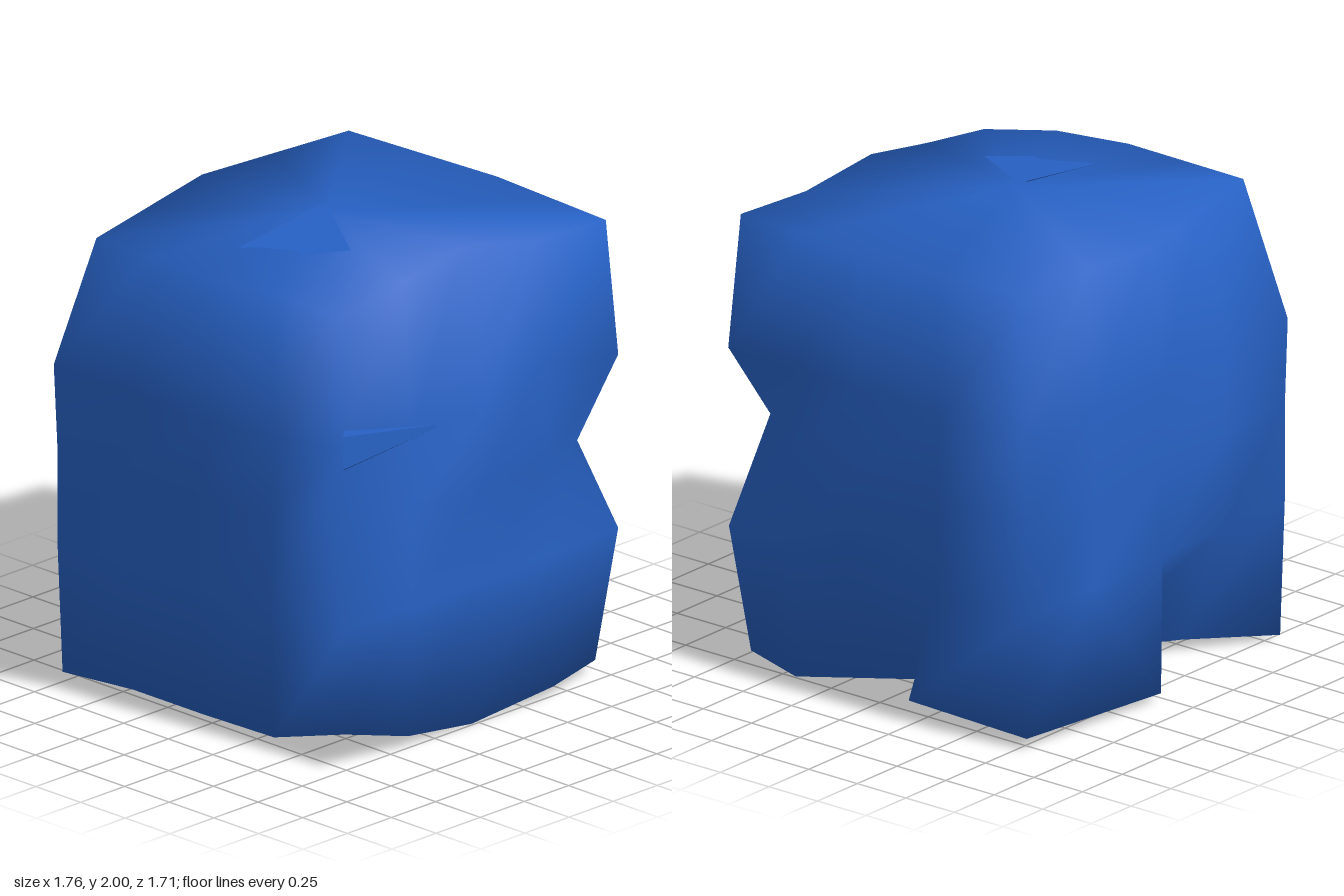
import * as THREE from 'three';
import { ConvexGeometry } from 'three/addons/geometries/ConvexGeometry.js';

// Outlines as x,z pairs: front, then round past +x, the back and -x
const base = [-0.03, 0.74, 0.73, 0.68, 0.82, 0, 0.79, -0.79, 0, -0.84, -0.8, -0.79, -0.8, 0, -0.77, 0.76];
const waist = [0, 0.76, 0.82, 0.72, 0.87, 0.06, 0.85, -0.84, 0, -0.84, -0.83, -0.79, -0.85, 0, -0.78, 0.77];
const chest = [0, 0.79, 0.8, 0.74, 0.83, 0.05, 0.86, -0.82, 0, -0.85, -0.86, -0.78, -0.89, 0.14, -0.74, 0.7];
const rim = [0.05, 0.62, 0.77, 0.7, 0.81, 0.05, 0.76, -0.73, 0, -0.8, -0.8, -0.6, -0.81, 0, -0.67, 0.63];

// Sixteen points at height y: the outline and the middle of each of its sides
function ring(y, outline) {
  const corners = [];
  for (let i = 0; i < outline.length; i += 2) {
    corners.push(new THREE.Vector3(outline[i], y, outline[i + 1]));
  }
  return corners.flatMap((p, i) => [p, p.clone().lerp(corners[(i + 1) % corners.length], 0.5)]);
}

// Closed smooth skin through the rings, with a centre point on each cap
function skin(rings, bottom, top) {
  const n = rings[0].length;
  const points = [...rings.flat(), bottom, top];
  const b = points.length - 2;
  const last = b - n;
  const index = [];
  for (let j = 0; j < n; j++) {
    const k = (j + 1) % n;
    for (let r = 0; r < last; r += n) {
      index.push(r + j, r + k, r + n + k, r + j, r + n + k, r + n + j);
    }
    index.push(b, k, j, b + 1, last + j, last + k);
  }
  const geometry = new THREE.BufferGeometry().setFromPoints(points);
  geometry.setIndex(index);
  geometry.computeVertexNormals();
  return geometry;
}

function bodyGeometry() {
  const foot = ring(0.05, base);
  const low = ring(0.6, waist);
  const middle = ring(1, waist);
  const high = ring(1.35, chest);
  const top = ring(1.92, rim);

  // Cleft under the +x face
  foot[3].set(0.84, 0.05, 0.36);
  foot[4].set(0.57, 0.06, -0.06);
  foot[5].set(0.8, 0.07, -0.19);
  // Cleft under the back
  foot[7].set(0.02, 0.03, -0.85);
  foot[8].set(-0.08, 0.06, -0.35);
  foot[9].set(-0.45, 0.05, -0.57);
  // Dents in both front edges
  middle[2].set(0.56, 1, 0.72);
  middle[14].set(-0.7, 1.1, 0.58);
  // Bulges on the front
  high[1].set(0.27, 1.5, 0.86);
  foot[1].set(0.4, 0.05, 0.77);
  // Uneven rims
  foot[0].y = 0;
  foot[14].y = 0.16;
  foot[10].y = 0.02;
  top[0].y = 1.98;
  top[14].y = 1.87;

  return skin([foot, low, middle, high, top],
    new THREE.Vector3(0, 0.04, 0), new THREE.Vector3(-0.05, 1.98, -0.05));
}

export function createModel() {
  const group = new THREE.Group();
  group.name = 'boulder';
  const blue = new THREE.MeshStandardMaterial({ color: 0x2761c4 });
  blue.name = 'blue';

  const add = (name, geometry) => {
    const mesh = new THREE.Mesh(geometry, blue);
    mesh.name = name;
    group.add(mesh);
  };

  add('body', bodyGeometry());

  // Small overhanging ledges on the front edge and the top
  const wedge = (...points) => new ConvexGeometry(points.map((p) => new THREE.Vector3(...p)));
  add('frontLedge', wedge([-0.78, 1.43, 0.76], [-0.78, 1.29, 0.76], [-0.2, 1.33, 0.76],
    [-0.6, 1.2, 0.6], [-0.6, 1.4, 0.6]));
  add('topLedge', wedge([-0.07, 2, -0.08], [-0.06, 2, -0.03], [-0.26, 1.96, 0.29],
    [-0.7, 1.92, -0.08], [-0.3, 1.9, 0.05]));
  return group;
}
